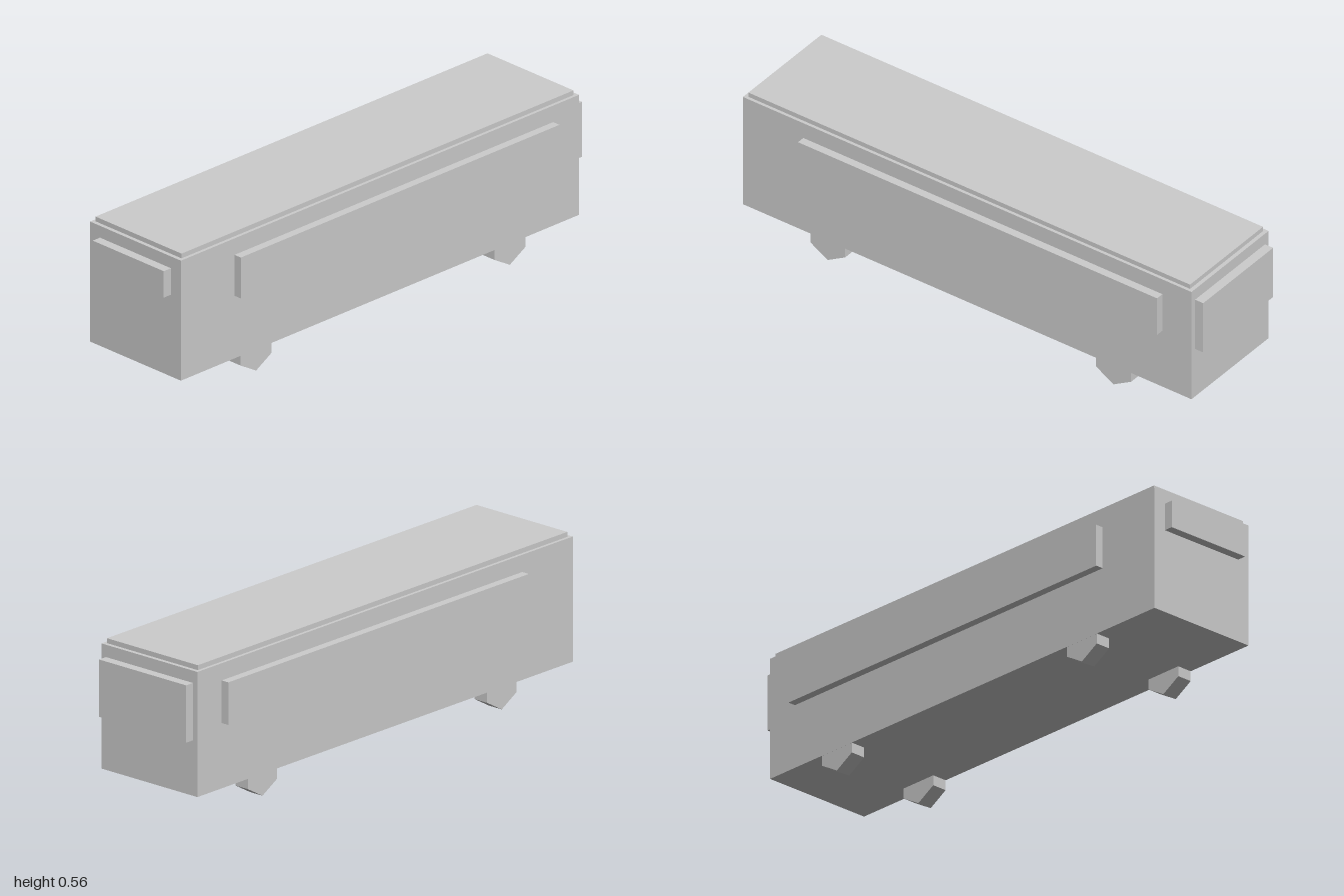
import * as THREE from 'three';

export function createModel() {
  const model = new THREE.Group();
  const grey = new THREE.MeshStandardMaterial({ color: 0xcccccc });
  grey.name = 'light grey';
  grey.flatShading = true;

  // Box given by its lower and upper limits on each axis
  const box = (name, [x0, x1], [y0, y1], [z0, z1]) => {
    const mesh = new THREE.Mesh(new THREE.BoxGeometry(x1 - x0, y1 - y0, z1 - z0), grey);
    mesh.position.set((x0 + x1) / 2, (y0 + y1) / 2, (z0 + z1) / 2);
    mesh.name = name;
    model.add(mesh);
  };

  // Bus body and roof
  box('body', [-0.965, 0.965], [0.081, 0.539], [-0.224, 0.224]);
  box('roof', [-0.95, 0.95], [0.539, 0.557], [-0.212, 0.212]);

  // Raised windows on both ends
  box('windscreen', [0.965, 1], [0.284, 0.494], [-0.203, 0.203]);
  box('rearWindow', [-1, -0.965], [0.393, 0.494], [-0.175, 0.175]);

  // Raised window bands on both long sides
  box('sideWindowFront', [-0.705, 0.84], [0.32, 0.476], [0.224, 0.255]);
  box('sideWindowBack', [-0.705, 0.84], [0.32, 0.476], [-0.255, -0.224]);

  // Six-sided wheels, one corner pointing down
  const wheelGeometry = new THREE.CylinderGeometry(0.0866, 0.0866, 0.059, 6).rotateX(Math.PI / 2);
  for (const x of [-0.6, 0.63]) {
    for (const side of [-1, 1]) {
      const wheel = new THREE.Mesh(wheelGeometry, grey);
      wheel.position.set(x, 0.0866, side * 0.1943);
      wheel.name = 'wheel';
      model.add(wheel);
    }
  }
  return model;
}
